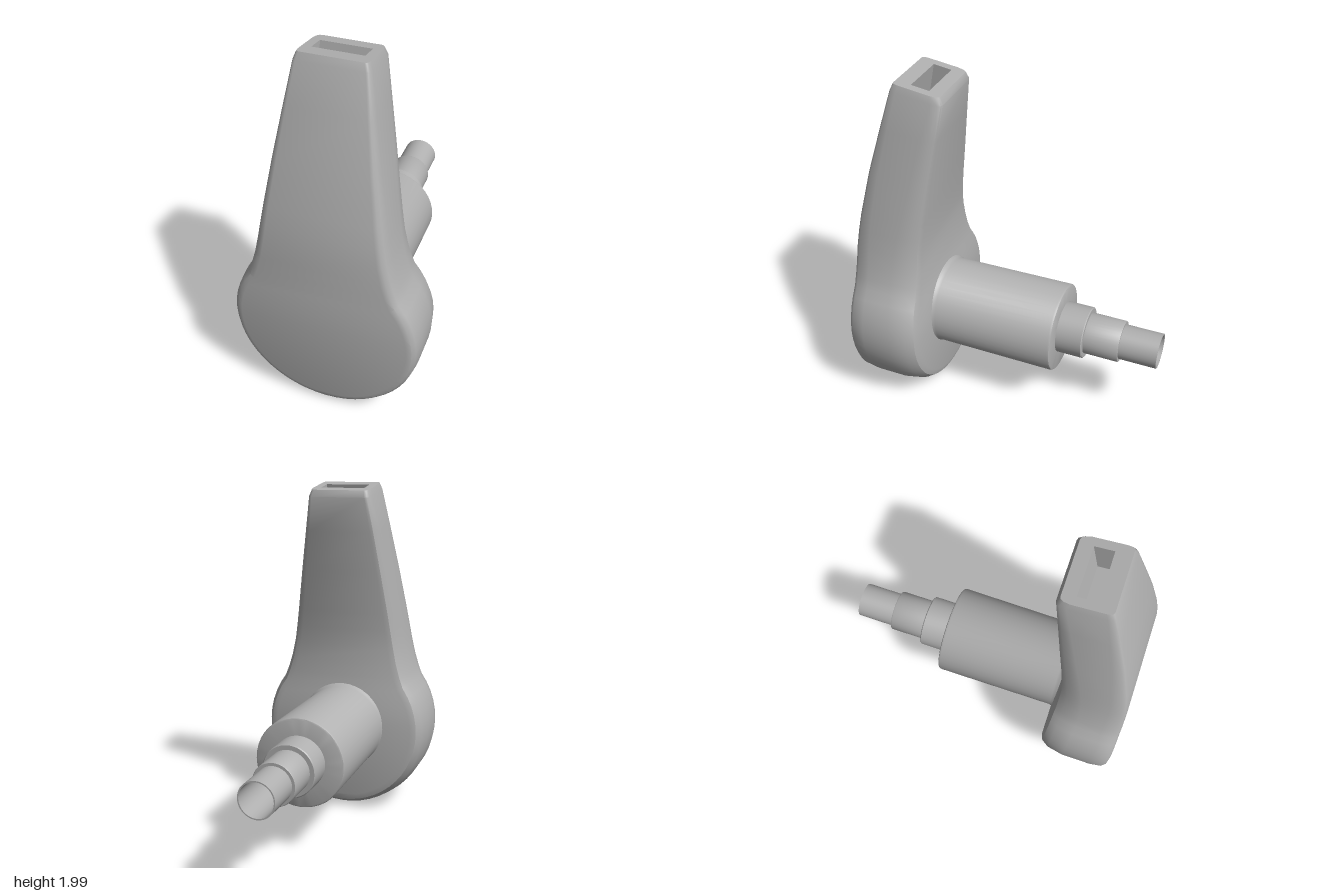
import * as THREE from 'three';
import { toCreasedNormals } from 'three/addons/utils/BufferGeometryUtils.js';

// Side profile of the handle: [height, front z, back z]
const PROFILE = [
  [0, 0.85, 0.42], [0.6, 0.85, 0.437], [0.85, 0.847, 0.455], [1.03, 0.84, 0.46],
  [1.2, 0.818, 0.445], [1.5, 0.75, 0.4], [1.96, 0.62, 0.335], [2, 0.603, 0.35],
];
// Rounded rim, front to back: [inset from outline, offset from face, face (1 front, 2 back)]
const RIM = [
  [0.055, 0, 1], [0.028, 0.008, 1], [0.01, 0.03, 1], [0, 0.1, 1],
  [0, 0.15, 2], [0.018, 0.055, 2], [0.045, 0.013, 2], [0.08, 0, 2],
];
const topPlane = (z) => 2 - 0.15 * (0.61 - z);

function profileAt(y, column) {
  for (let i = 1; i < PROFILE.length; i++) {
    const a = PROFILE[i - 1], b = PROFILE[i];
    if (y <= b[0]) return THREE.MathUtils.mapLinear(Math.max(y, a[0]), a[0], b[0], a[column], b[column]);
  }
  return PROFILE[PROFILE.length - 1][column];
}

// Front outline: tapered arm running into a round head, from top +x down and up to top -x
function makeOutline() {
  const right = [
    [0.175, 2], [0.188, 1.96], [0.224, 1.75], [0.267, 1.5], [0.31, 1.25],
    [0.327, 1.15], [0.345, 1.05], [0.368, 0.95], [0.391, 0.875],
  ];
  for (let deg = 36; deg >= -90; deg -= 7) {
    const a = THREE.MathUtils.degToRad(deg);
    right.push([0.51 * Math.cos(a), 0.517 + 0.51 * Math.sin(a)]);
  }
  const left = right.slice(0, -1).reverse().map(([x, y]) => [-x, y]);
  return [...right, ...left];
}

function makeRings() {
  const outline = makeOutline(), n = outline.length;
  return RIM.map(([inset, offset, face]) => outline.map(([x, y], i) => {
    const p = outline[Math.max(i - 1, 0)], q = outline[Math.min(i + 1, n - 1)];
    const dx = q[0] - p[0], dy = q[1] - p[1], len = Math.hypot(dx, dy);
    const s = THREE.MathUtils.mapLinear(Math.max(y, 0.9), 0.9, 2, 1, 0.35);
    const px = x + (dy / len) * inset * s;
    const py = y > 1.9 ? y : y - (dx / len) * inset * s;
    const z = profileAt(py, face) + (face === 1 ? -offset : offset) * s;
    const tilt = THREE.MathUtils.clamp((py - 1.4) / 0.6, 0, 1);
    return new THREE.Vector3(px, py + tilt * (topPlane(z) - 2), z);
  }));
}

function makeShell(rings) {
  const n = rings[0].length, last = rings.length - 1, half = (n - 1) / 2;
  const index = [];
  const quad = (a, b, c, d) => index.push(a, b, c, a, c, d);
  for (let k = 0; k < last; k++) {
    for (let i = 0; i < n - 1; i++) {
      quad(k * n + i, k * n + i + 1, (k + 1) * n + i + 1, (k + 1) * n + i);
    }
  }
  // Front and back faces as strips between the two sides
  for (let i = 0; i < half; i++) {
    const j = n - 1 - i, o = last * n;
    if (i === half - 1) {
      index.push(i, j, i + 1, o + j, o + i, o + i + 1);
    } else {
      quad(i, j, j - 1, i + 1);
      quad(o + j, o + i, o + i + 1, o + j - 1);
    }
  }
  const geometry = new THREE.BufferGeometry().setFromPoints(rings.flat());
  geometry.setIndex(index);
  return toCreasedNormals(geometry, 0.6);
}

const SLOT = { x: 0.13, back: 0.42, front: 0.52, depth: 0.2, shift: 0.04 };

// Sloping end face with a rectangular opening
function makeTopFace(rings) {
  const n = rings[0].length;
  const edge = [...rings.map((r) => r[0]), ...rings.map((r) => r[n - 1]).reverse()];
  const shape = new THREE.Shape(edge.map((p) => new THREE.Vector2(p.x, -p.z)));
  shape.holes.push(new THREE.Path([
    new THREE.Vector2(-SLOT.x, -SLOT.front), new THREE.Vector2(-SLOT.x, -SLOT.back),
    new THREE.Vector2(SLOT.x, -SLOT.back), new THREE.Vector2(SLOT.x, -SLOT.front),
  ]));
  const geometry = new THREE.ShapeGeometry(shape).rotateX(-Math.PI / 2);
  const pos = geometry.attributes.position;
  for (let i = 0; i < pos.count; i++) pos.setY(i, topPlane(pos.getZ(i)));
  geometry.computeVertexNormals();
  return geometry;
}

// Slot lining: an open box turned inside out that follows the lean of the arm
function makeSlot() {
  const geometry = new THREE.BoxGeometry(2 * SLOT.x, 1, SLOT.front - SLOT.back);
  const index = Array.from(geometry.index.array);
  index.splice(12, 6);
  geometry.setIndex(index.reverse());
  const pos = geometry.attributes.position;
  for (let i = 0; i < pos.count; i++) {
    const z = pos.getZ(i) + (SLOT.front + SLOT.back) / 2;
    const low = pos.getY(i) < 0;
    pos.setY(i, topPlane(z) - (low ? SLOT.depth : 0));
    pos.setZ(i, z + (low ? SLOT.shift : 0));
  }
  geometry.computeVertexNormals();
  return geometry;
}

// Turned part along the z axis; points are [radius, z], front to back
function makeTurned(points) {
  const geometry = new THREE.LatheGeometry(points.map(([r, z]) => new THREE.Vector2(r, -z)), 40);
  return toCreasedNormals(geometry.rotateX(-Math.PI / 2), 0.6);
}

export function createModel() {
  const model = new THREE.Group();
  model.name = 'leverHandle';
  const grey = new THREE.MeshStandardMaterial({ color: 0xb0b0b0 });
  grey.name = 'plain grey';

  const add = (name, geometry, parent, y = 0) => {
    const mesh = new THREE.Mesh(geometry, grey);
    mesh.name = name;
    mesh.position.y = y;
    parent.add(mesh);
  };

  // Handle
  const handle = new THREE.Group();
  handle.name = 'handle';
  const rings = makeRings();
  add('handleShell', makeShell(rings), handle);
  add('handleTop', makeTopFace(rings), handle);
  add('handleSlot', makeSlot(), handle);

  // Shaft with a slight flare at the root, then a stepped hollow spigot
  const shaft = new THREE.Group();
  shaft.name = 'shaft';
  add('barrel', makeTurned([
    [0.27, 0.46], [0.26, 0.435], [0.253, 0.42], [0.257, -0.272],
    [0.253, -0.282], [0.245, -0.286], [0.1, -0.286],
  ]), shaft, 0.533);
  add('steppedSpigot', makeTurned([
    [0.15, -0.27], [0.15, -0.435], [0.145, -0.44], [0.12, -0.44],
    [0.12, -0.637], [0.117, -0.642], [0.101, -0.642], [0.101, -0.86],
    [0.094, -0.86], [0.094, -0.45], [0, -0.45],
  ]), shaft, 0.541);

  model.add(handle, shaft);
  return model;
}
